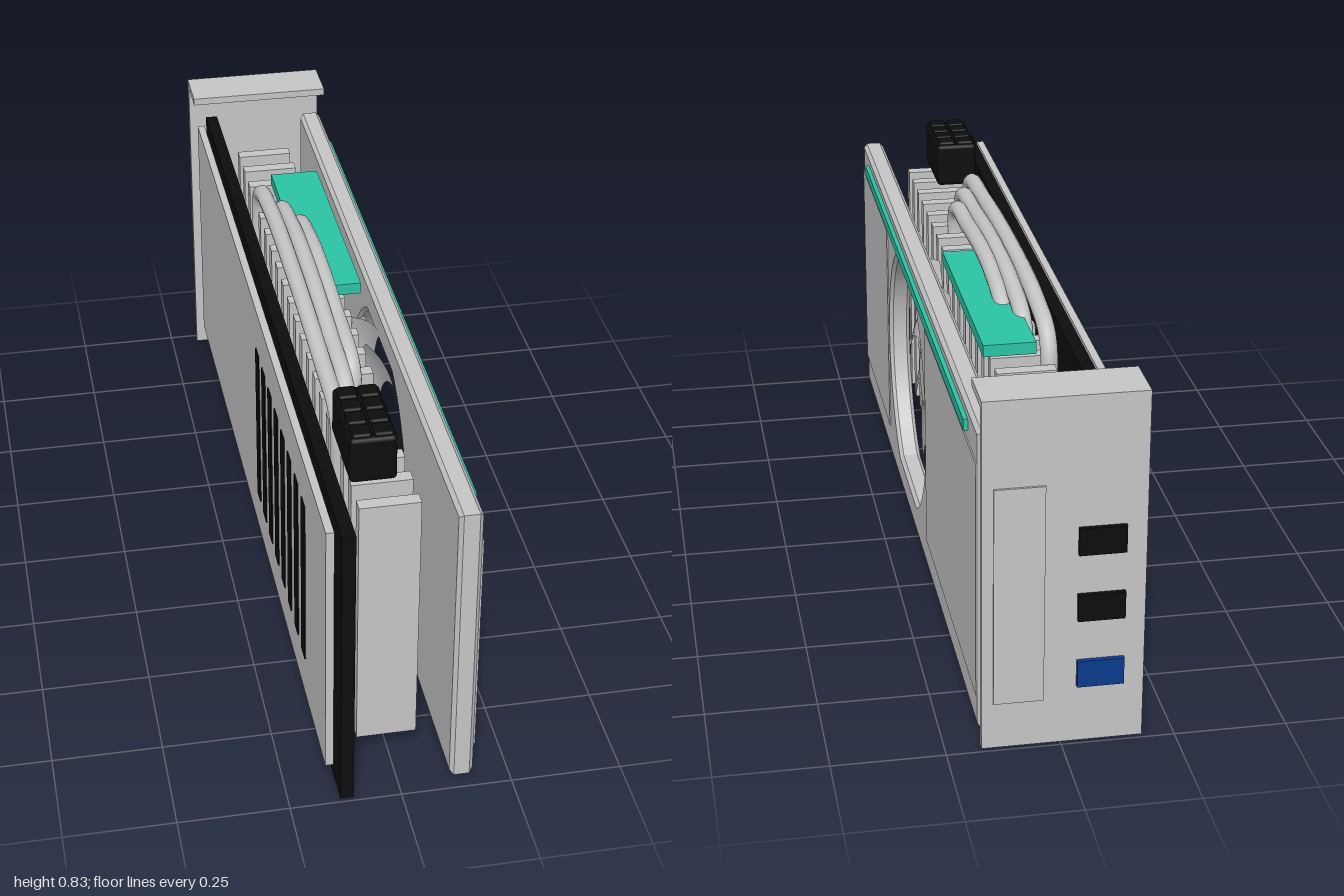
import * as THREE from 'three';
import { RoundedBoxGeometry } from 'three/addons/geometries/RoundedBoxGeometry.js';

const grey = new THREE.MeshStandardMaterial({ color: 0xc6c6c6, side: THREE.DoubleSide });
const black = new THREE.MeshStandardMaterial({ color: 0x0d0d0d });
const teal = new THREE.MeshStandardMaterial({ color: 0x2cc4a4 });
const blue = new THREE.MeshStandardMaterial({ color: 0x0a3a8c });
grey.name = 'light grey metal';
black.name = 'black plastic';
teal.name = 'teal accent';
blue.name = 'blue port';

const FAN = { y: 0.365, z: 0.15 };

export function createModel() {
  const model = new THREE.Group();
  model.name = 'graphicsCard';

  const add = (name, geometry, material, parent = model) => {
    const mesh = new THREE.Mesh(geometry, material);
    mesh.name = name;
    parent.add(mesh);
    return mesh;
  };
  // Box given by its limits on each axis
  const box = (name, material, [x0, x1], [y0, y1], [z0, z1], parent) => {
    const mesh = add(name, new THREE.BoxGeometry(x1 - x0, y1 - y0, z1 - z0), material, parent);
    mesh.position.set((x0 + x1) / 2, (y0 + y1) / 2, (z0 + z1) / 2);
    return mesh;
  };
  const group = (name) => {
    const g = new THREE.Group();
    g.name = name;
    model.add(g);
    return g;
  };

  // Circuit board with edge contacts on both faces
  box('circuitBoard', black, [-0.138, -0.108], [0.01, 0.72], [-0.95, 1]);
  const contacts = group('edgeContacts');
  for (const x of [-0.141, -0.108]) {
    for (const z of [[-0.92, -0.69], [-0.64, 0.61]]) {
      box('contactStrip', grey, [x, x + 0.003], [0.012, 0.08], z, contacts);
    }
  }

  // Backplate with vent slots
  box('backplate', grey, [-0.165, -0.147], [0.08, 0.71], [-0.92, 0.965]);
  const vents = group('ventSlots');
  for (let i = 0; i < 8; i++) {
    const z = 0.083 + i * 0.0885;
    box('ventSlot', black, [-0.168, -0.164], [0.185, 0.605], [z - 0.021, z + 0.021], vents);
  }

  // Heatsink fins
  const fins = group('heatsinkFins');
  for (let i = 0; i < 20; i++) {
    const z = -0.792 + i * 0.0857;
    box('fin', grey, [-0.073, 0.063], [0.05, 0.68], [z - 0.016, z + 0.016], fins);
  }

  // Heat pipes arching over the fins
  const pipes = group('heatPipes');
  [
    { x: -0.065, front: 0.6, back: -0.5, top: 0.775 },
    { x: -0.027, front: 0.5, back: -0.41, top: 0.775 },
    { x: 0.005, front: 0.4, back: -0.33, top: 0.77 },
  ].forEach(({ x, front, back, top }) => {
    const path = new THREE.CatmullRomCurve3([
      [front - 0.03, 0.26], [front - 0.01, 0.6], [front - 0.02, 0.725],
      [front - 0.22, 0.755], [-0.02, top], [back + 0.17, 0.765],
      [back + 0.02, 0.725], [back, 0.6], [back + 0.02, 0.26],
    ].map(([z, y]) => new THREE.Vector3(x, y, z)));
    add('heatPipe', new THREE.TubeGeometry(path, 80, 0.02, 14), grey, pipes);
  });

  // Shroud with a round fan opening, flat at top and bottom
  const shape = new THREE.Shape();
  shape.moveTo(-0.97, 0.01).lineTo(0.925, 0.01).lineTo(0.925, 0.72).lineTo(-0.97, 0.72).closePath();
  const hole = new THREE.Path();
  const a = Math.asin(0.28 / 0.315);
  hole.absarc(-FAN.z, FAN.y, 0.315, -a, a, false);
  hole.absarc(-FAN.z, FAN.y, 0.315, Math.PI - a, Math.PI + a, false);
  hole.closePath();
  shape.holes.push(hole);
  const shroud = add('shroud', new THREE.ExtrudeGeometry(shape, {
    depth: 0.035, bevelSize: 0.009, bevelThickness: 0.009, bevelOffset: -0.009,
    bevelSegments: 1, curveSegments: 28,
  }), grey);
  shroud.rotation.y = Math.PI / 2;
  shroud.position.x = 0.125;
  box('frontPanel', grey, [0.166, 0.172], [0.088, 0.645], [0.48, 0.962]);
  box('rearPanel', grey, [0.166, 0.172], [0.088, 0.645], [-0.915, -0.187]);
  box('sideAccentStrip', teal, [0.166, 0.179], [0.668, 0.694], [-0.8, 0.86]);
  box('topAccentPlate', teal, [-0.027, 0.092], [0.718, 0.746], [-0.54, 0.042]);

  // Fan: hub and swept, pitched blades
  const fan = group('fan');
  fan.position.set(0, FAN.y, FAN.z);
  const disc = (name, radius, x0, x1) => {
    const mesh = add(name, new THREE.CylinderGeometry(radius, radius, x1 - x0, 40), grey, fan);
    mesh.rotation.z = -Math.PI / 2;
    mesh.position.x = (x0 + x1) / 2;
  };
  disc('fanHub', 0.095, 0.08, 0.122);
  disc('fanHubCap', 0.072, 0.12, 0.126);
  const blade = new THREE.PlaneGeometry(1, 1, 12, 8);
  const p = blade.attributes.position;
  for (let i = 0; i < p.count; i++) {
    const u = p.getX(i) + 0.5;
    const v = p.getY(i) + 0.5;
    const r = 0.085 + 0.218 * u;
    const angle = 0.55 * Math.pow(u, 1.4) + 0.46 * v;
    const x = 0.077 + 0.04 * v + 0.008 * Math.sin(Math.PI * v) * u;
    p.setXYZ(i, x, r * Math.sin(angle), -r * Math.cos(angle));
  }
  blade.computeVertexNormals();
  for (let i = 0; i < 11; i++) {
    add('fanBlade', blade, grey, fan).rotation.x = (i / 11) * Math.PI * 2;
  }

  // Power connector with socket caps
  const power = group('powerConnector');
  add('connectorBody', new RoundedBoxGeometry(0.103, 0.11, 0.21, 2, 0.01), black, power)
    .position.set(-0.033, 0.77, 0.705);
  for (let i = 0; i < 4; i++) {
    for (const x of [-0.057, -0.009]) {
      add('socketCap', new RoundedBoxGeometry(0.042, 0.03, 0.044, 2, 0.006), black, power)
        .position.set(x, 0.817, 0.63 + i * 0.05);
    }
  }

  // Mounting bracket with lip, raised panel and ports
  const bracket = group('mountingBracket');
  box('bracketPlate', grey, [-0.18, 0.172], [0, 0.818], [-0.988, -0.97], bracket);
  box('bracketLip', grey, [-0.18, 0.172], [0.8, 0.818], [-0.97, -0.865], bracket);
  box('bracketPanel', grey, [0.038, 0.147], [0.11, 0.62], [-0.993, -0.987], bracket);
  [[0.455, black], [0.298, black], [0.138, blue]].forEach(([y, material]) => {
    box('displayPort', material, [-0.135, -0.033], [y, y + 0.063], [-0.999, -0.987], bracket);
  });

  return model;
}
